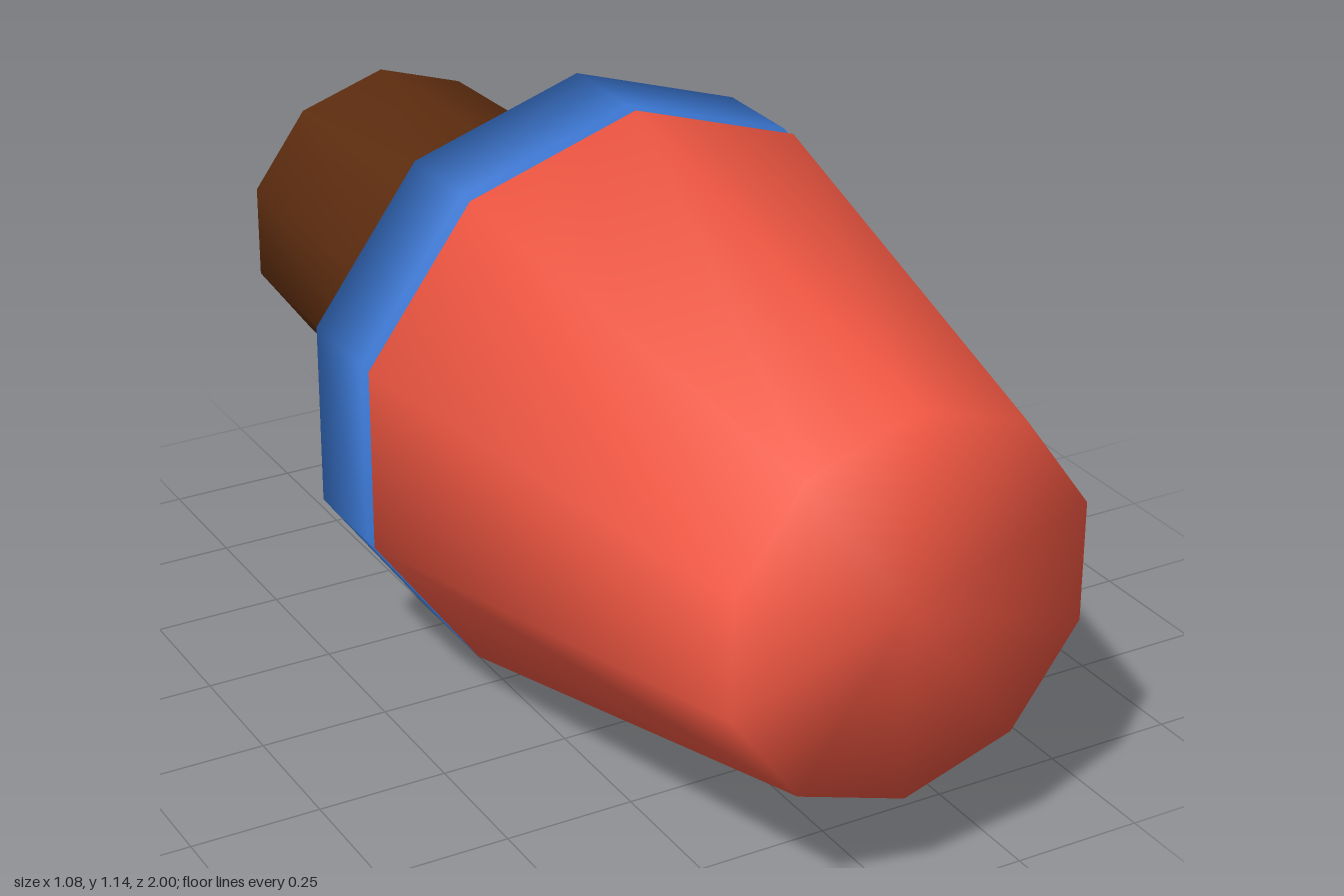
import * as THREE from 'three';
import { mergeVertices } from 'three/addons/utils/BufferGeometryUtils.js';

const SIDES = 10;
const AXIS_Y = 0.57;

// Ten-sided frustum along z, with smooth normals shared across its rims
function frustum(name, color, zFront, rFront, zBack, rBack, open = false) {
  let geometry = new THREE.CylinderGeometry(rFront, rBack, zFront - zBack, SIDES, 1, open);
  geometry.rotateX(Math.PI / 2);
  geometry.deleteAttribute('uv');
  geometry.deleteAttribute('normal');
  geometry = mergeVertices(geometry, 1e-4);
  geometry.computeVertexNormals();
  const material = new THREE.MeshStandardMaterial({ color });
  if (open) material.side = THREE.DoubleSide;
  const mesh = new THREE.Mesh(geometry, material);
  mesh.name = name;
  mesh.position.set(0, AXIS_Y, (zFront + zBack) / 2);
  return mesh;
}

export function createModel() {
  const model = new THREE.Group();
  model.name = 'taperedPlug';
  model.add(
    // tapered nose, separated from the flange by a narrow gap
    frustum('nose', 0xf45843, 1.0, 0.365, 0.07, 0.57),
    // wide flange disc
    frustum('flange', 0x3f7fe0, 0.04, 0.57, -0.15, 0.57),
    // short collar behind the flange
    frustum('collar', 0xd8f010, -0.15, 0.388, -0.32, 0.358),
    // hollow rear sleeve
    frustum('sleeve', 0x5c2c0f, -0.32, 0.325, -1.0, 0.304, true)
  );
  return model;
}
